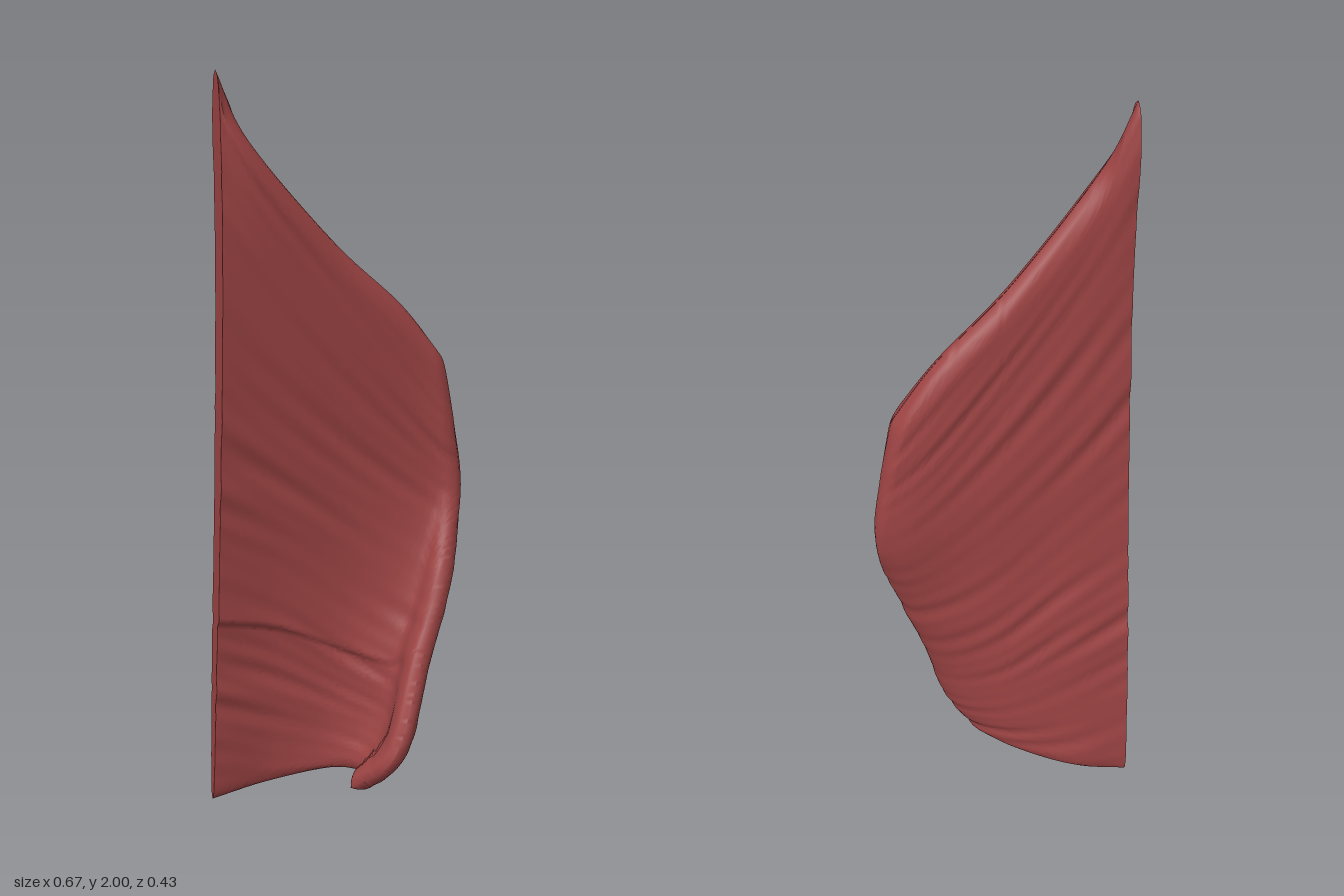
import * as THREE from 'three';
import { toCreasedNormals } from 'three/addons/utils/BufferGeometryUtils.js';

// Fibre rows from the upper border to the lower border.
// Each row runs from the cut inner edge to the rolled outer edge: [x, y, z].
const ROWS = [
  [[-0.335, 1.995, 0.005], [-0.26, 1.83, 0.018], [-0.03, 1.575, -0.018], [0.16, 1.405, -0.035], [0.278, 1.26, -0.042]],
  [[-0.335, 1.6, 0.005], [-0.2, 1.5, -0.01], [0.0, 1.33, -0.035], [0.2, 1.16, -0.055], [0.315, 1.08, -0.04]],
  [[-0.335, 1.2, -0.032], [-0.18, 1.12, -0.05], [0.04, 1.0, -0.07], [0.24, 0.9, -0.065], [0.332, 0.89, -0.025]],
  [[-0.335, 0.85, -0.08], [-0.15, 0.8, -0.088], [0.06, 0.7, -0.085], [0.22, 0.66, -0.03], [0.262, 0.69, 0.06]],
  [[-0.335, 0.57, -0.125], [-0.15, 0.53, -0.125], [0.03, 0.45, -0.095], [0.16, 0.42, -0.005], [0.165, 0.48, 0.125]],
  [[-0.335, 0.3, -0.165], [-0.15, 0.28, -0.15], [0.02, 0.26, -0.098], [0.125, 0.25, 0.02], [0.055, 0.255, 0.215]],
  [[-0.335, 0.0, -0.207], [-0.18, 0.04, -0.185], [-0.01, 0.095, -0.1], [0.05, 0.115, 0.01], [-0.035, 0.14, 0.12]],
];
// Half thickness of each row at the inner and the outer edge
const INNER = [0.04, 0.038, 0.036, 0.031, 0.028, 0.025, 0.015];
const OUTER = [0.045, 0.045, 0.038, 0.036, 0.036, 0.036, 0.035];

const curveThrough = (pts) => new THREE.CatmullRomCurve3(pts, false, 'catmullrom', 0.5);
const COLUMNS = ROWS[0].map((_, c) => curveThrough(ROWS.map((r) => new THREE.Vector3(...r[c]))));
const rowCurve = (v) => curveThrough(COLUMNS.map((c) => c.getPoint(v)));

function lerpList(list, t) {
  const s = t * (list.length - 1), i = Math.min(Math.floor(s), list.length - 2);
  return THREE.MathUtils.lerp(list[i], list[i + 1], s - i);
}

// Quarter-round falloff towards a border
const roundOff = (d, width) => {
  const t = Math.min(1, d / width);
  return Math.sqrt(Math.max(0, 1 - (1 - t) ** 2));
};

// Fine uneven grooves along the fibres, fading towards the outer edge
function grooves(u, v, phase) {
  const s = v - 0.12 * u;
  const swell = 0.6 + 0.4 * Math.sin(4 * u + 17 * v + phase);
  return (1 - 0.75 * u * u) * swell * (
    0.0024 * Math.sin(s * 88 + 2 * Math.sin(u * 4 + phase)) +
    0.002 * Math.sin(s * 57 + 2 * u + phase * 2) +
    0.0018 * Math.sin(s * 143 - 3 * u + phase));
}

function muscleGeometry(nu = 80, nv = 170) {
  const loop = 2 * (nu + 1), positions = [], indices = [];
  const e = 0.004;
  for (let j = 0; j <= nv; j++) {
    const v = j / nv;
    const row = rowCurve(v), above = rowCurve(Math.max(0, v - e)), below = rowCurve(Math.min(1, v + e));
    const front = [], back = [];
    for (let i = 0; i <= nu; i++) {
      const u = i / nu, p = row.getPoint(u);
      const du = row.getPoint(Math.min(1, u + e)).sub(row.getPoint(Math.max(0, u - e)));
      const dv = below.getPoint(u).sub(above.getPoint(u));
      const n = dv.cross(du).normalize();
      // the inner edge is cut in one flat plane
      if (i === 0) n.setX(0).normalize();
      const edge = roundOff(v, 0.06) * roundOff(1 - v, 0.035) * roundOff(1 - u, 0.1);
      const r = THREE.MathUtils.lerp(lerpList(INNER, v), lerpList(OUTER, v), u * u);
      // the upper fibres overlap the lower ones in a crease
      const d = 0.67 - v;
      const fold = d > 0 ? 0.016 * Math.min(1, d / 0.012) * Math.exp(-d / 0.09) * (1 - u * u) : 0;
      front.push(p.clone().addScaledVector(n, 0.0005 + edge * (r + fold + grooves(u, v, 0.4))));
      back.push(p.clone().addScaledVector(n, -0.0005 - edge * (r + grooves(u, v, 2.1))));
    }
    for (const p of [...front, ...back.reverse()]) positions.push(p.x, p.y, p.z);
  }
  for (let j = 0; j < nv; j++) {
    for (let k = 0; k < loop; k++) {
      const a = j * loop + k, b = j * loop + (k + 1) % loop;
      indices.push(a, a + loop, b, b, a + loop, b + loop);
    }
  }
  const g = new THREE.BufferGeometry();
  g.setAttribute('position', new THREE.Float32BufferAttribute(positions, 3));
  g.setIndex(indices);
  return toCreasedNormals(g, Math.PI / 3);
}

export function createModel() {
  const group = new THREE.Group();
  group.name = 'muscle';
  // One fan-shaped sheet, rolled forward at its lower outer end
  const sheet = new THREE.Mesh(
    muscleGeometry(),
    new THREE.MeshStandardMaterial({ color: 0x9c4343, side: THREE.DoubleSide })
  );
  sheet.name = 'muscleSheet';
  group.add(sheet);
  return group;
}
